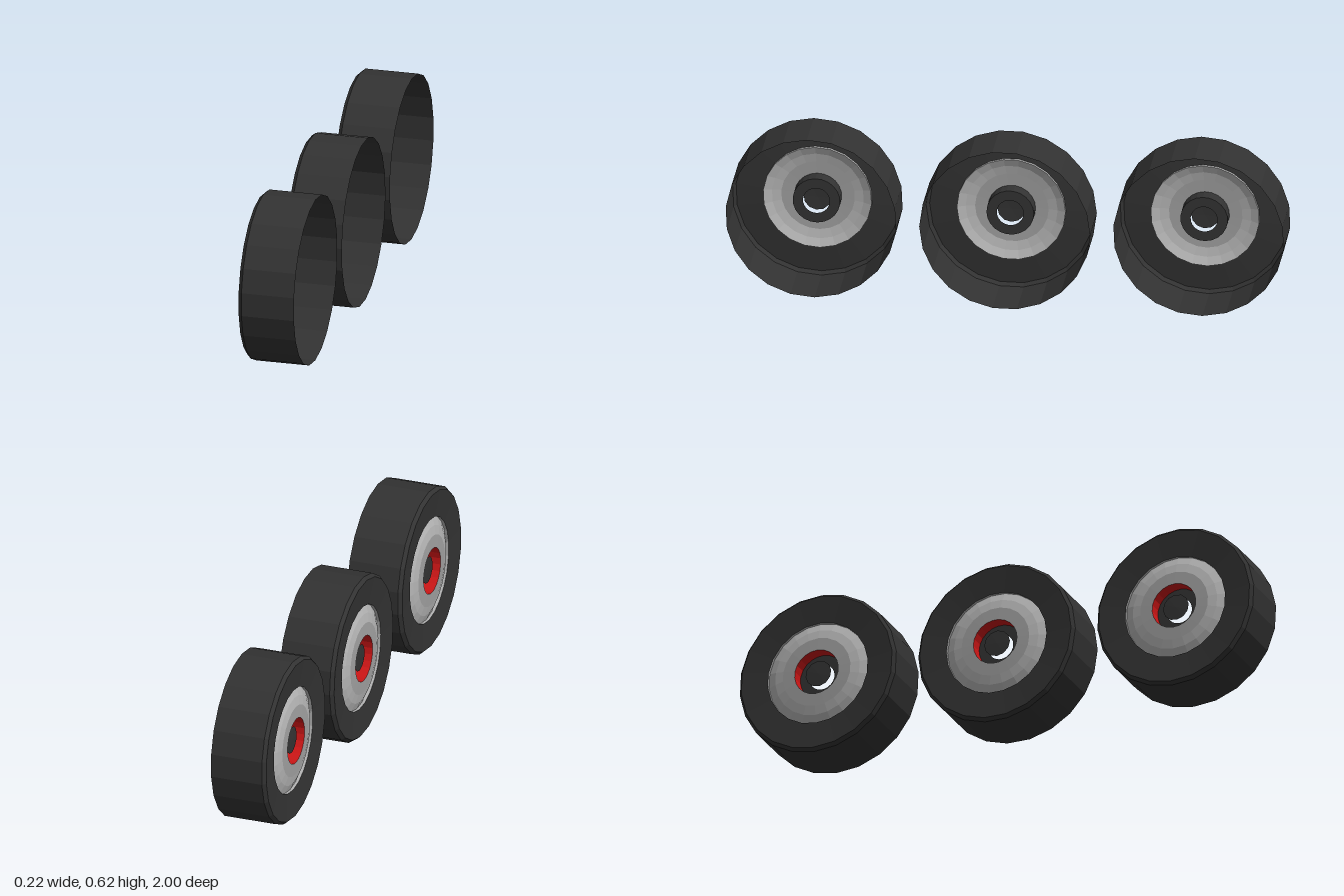
import * as THREE from 'three';

const SIDES = 22;

function mat(color, side = THREE.DoubleSide) {
  return new THREE.MeshStandardMaterial({ color, flatShading: true, side });
}
const rubber = mat(0x323232);
const metal = mat(0xb4b4b4);
const ringGrey = mat(0xa0a0a0);
const dark = mat(0x333333);
const darkOuter = mat(0x333333, THREE.FrontSide);
const redInner = mat(0xcc1616, THREE.BackSide);

// Surface of revolution from [radius, axial position] pairs
function turned(name, profile, material, sides = SIDES) {
  const points = profile.map(([r, a]) => new THREE.Vector2(r, a));
  const mesh = new THREE.Mesh(new THREE.LatheGeometry(points, sides), material);
  mesh.name = name;
  return mesh;
}

// Wheel along +y: closed face at the top, hollow below
function createWheel(name, spin) {
  const axle = new THREE.Group();
  axle.name = 'wheelBody';
  axle.add(
    turned('tyre', [[0.306, -0.103], [0.306, 0.09], [0.295, 0.103], [0.195, 0.094]], rubber),
    turned('rimCone', [[0.195, 0.094], [0.195, 0.083], [0.165, 0.096], [0.132, 0.103]], metal),
    turned('rimRing', [[0.132, 0.103], [0.085, 0.105]], ringGrey),
    turned('hubFloor', [[0.085, 0.055], [0.048, 0.055]], dark),
    turned('hubCap', [[0.05, 0.088], [0.0001, 0.09]], dark, 12)
  );
  // Hub wall: red inside, dark outside
  const wall = new THREE.CylinderGeometry(0.085, 0.085, 0.05, SIDES, 1, true);
  for (const [part, material] of [['hubWallInner', redInner], ['hubWallOuter', darkOuter]]) {
    const mesh = new THREE.Mesh(wall, material);
    mesh.name = part;
    mesh.position.y = 0.08;
    axle.add(mesh);
  }
  // Lay the axle along x with the closed face towards -x
  axle.rotation.set(0, spin, Math.PI / 2, 'ZYX');
  const wheel = new THREE.Group();
  wheel.name = name;
  wheel.rotation.set(0, -0.008, -0.0133); // slight camber and toe
  wheel.add(axle);
  return wheel;
}

export function createModel() {
  const model = new THREE.Group();
  model.name = 'wheelRow';
  const row = [
    ['frontWheel', 0.317, 0.694, 0.1],
    ['middleWheel', 0.306, 0, 0],
    ['rearWheel', 0.317, -0.694, 0.1],
  ];
  for (const [name, y, z, spin] of row) {
    const wheel = createWheel(name, spin);
    wheel.position.set(0, y, z);
    model.add(wheel);
  }
  return model;
}
